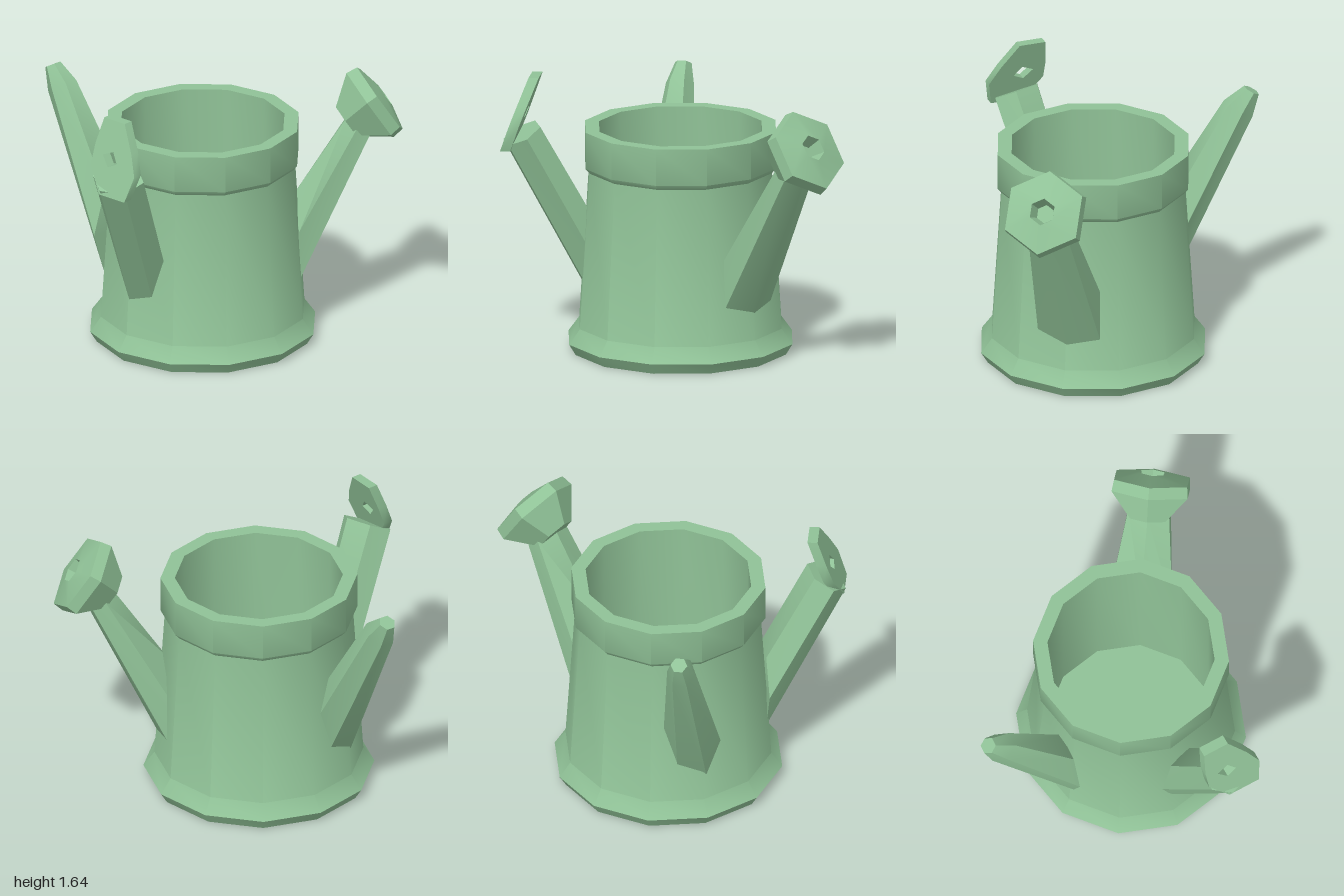
import * as THREE from 'three';
import { toCreasedNormals } from 'three/addons/utils/BufferGeometryUtils.js';

const CREASE = 0.7;

// Closed tube of six sides through rings { c: centre, w, h, upright }.
// An upright ring stands vertically, so it sits flush inside the pot wall.
function loft(rings, phase = 0, sides = 6) {
  const pos = [], index = [], up = new THREE.Vector3(0, 1, 0);
  const centres = rings.map((r) => new THREE.Vector3(...r.c));
  const axis = centres[centres.length - 1].clone().sub(centres[0]).normalize();
  const side = axis.clone().cross(up).normalize();
  const tilt = axis.clone().cross(side);
  rings.forEach((r, i) => {
    const down = r.upright ? up.clone().negate() : tilt;
    for (let k = 0; k < sides; k++) {
      const a = phase + (k / sides) * Math.PI * 2;
      const p = centres[i].clone()
        .addScaledVector(side, Math.cos(a) * r.w)
        .addScaledVector(down, Math.sin(a) * r.h);
      pos.push(p.x, p.y, p.z);
    }
  });
  const last = (rings.length - 1) * sides;
  const start = rings.length * sides;
  pos.push(...centres[0].toArray(), ...centres[centres.length - 1].toArray());
  for (let k = 0; k < sides; k++) {
    const n = (k + 1) % sides;
    for (let i = 0; i < last; i += sides) {
      index.push(i + k, i + n, i + sides + k, i + n, i + sides + n, i + sides + k);
    }
    index.push(start, n, k, start + 1, last + k, last + n);
  }
  const g = new THREE.BufferGeometry();
  g.setAttribute('position', new THREE.Float32BufferAttribute(pos, 3));
  g.setIndex(index);
  return toCreasedNormals(g, CREASE);
}

function lathe(points, sides, phase = 0) {
  const profile = points.map(([r, y]) => new THREE.Vector2(r, y));
  return toCreasedNormals(new THREE.LatheGeometry(profile, sides, phase), CREASE);
}

export function createModel() {
  const model = new THREE.Group();
  model.name = 'wateringCan';
  const green = new THREE.MeshStandardMaterial({ color: 0x90c297 });
  green.name = 'sage green';
  const add = (name, geometry) => {
    const mesh = new THREE.Mesh(geometry, green);
    mesh.name = name;
    model.add(mesh);
    return mesh;
  };

  // Hollow pot: flared foot, tapering wall, thick rim and deep inside
  const pot = add('pot', lathe([
    [0, 0.005], [0.64, 0.005], [0.68, 0.07], [0.615, 0.16], [0.555, 1.1], [0.58, 1.13],
    [0.58, 1.35], [0.495, 1.35], [0.495, 0.1], [0, 0.1],
  ], 12));
  pot.position.set(-0.205, 0, -0.015);

  // Spout with ridges along its top and bottom
  add('spout', loft([
    { c: [0.34, 0.51, -0.02], w: 0.22, h: 0.31, upright: true },
    { c: [0.74, 1.24, -0.01], w: 0.14, h: 0.09 },
  ], Math.PI / 2));

  // Sprinkler head: flared cup, domed face and a small pit
  const head = add('sprinklerHead', lathe([
    [0, -0.24], [0.12, -0.24], [0.26, -0.07], [0.25, 0], [0.08, 0.035], [0.055, -0.05], [0, -0.05],
  ], 6, Math.PI / 2));
  head.position.set(0.865, 1.395, -0.01);
  head.quaternion.setFromUnitVectors(
    new THREE.Vector3(0, 1, 0), new THREE.Vector3(0.83, 0.55, 0).normalize());

  // Front handle arm
  add('frontHandleArm', loft([
    { c: [-0.65, 0.6, 0.32], w: 0.15, h: 0.28, upright: true },
    { c: [-0.87, 1.31, 0.64], w: 0.16, h: 0.125 },
  ]));

  // Upright blade at the end of the front arm, leaning inward, with a small hole
  const outline = [[-0.1, 1.23], [0.1, 1.23], [0.17, 1.38], [0.14, 1.5],
    [0.08, 1.65], [-0.08, 1.65], [-0.14, 1.5], [-0.17, 1.38]];
  const toPoints = (list) => list.map(([u, y]) => new THREE.Vector2(u, y));
  const shape = new THREE.Shape(toPoints(outline));
  shape.holes.push(new THREE.Path(toPoints(
    [[-0.08, 1.45], [0, 1.48], [0.03, 1.42], [-0.04, 1.39]])));
  const blade = new THREE.ExtrudeGeometry(shape, { depth: 0.06, bevelEnabled: false });
  const p = blade.attributes.position;
  for (let i = 0; i < p.count; i++) {
    const u = p.getX(i), y = p.getY(i), w = p.getZ(i) - 0.03;
    const lean = (y - 1.3) / 0.35;
    p.setXYZ(i, -0.9 + 0.58 * u - 0.81 * w + 0.05 * lean, y,
      0.69 + 0.81 * u + 0.58 * w - 0.145 * lean);
  }
  blade.computeVertexNormals();
  add('frontHandleBlade', toCreasedNormals(blade, CREASE));

  // Back handle arm, tapering to a blunt tip
  add('backHandleArm', loft([
    { c: [-0.66, 0.58, -0.34], w: 0.17, h: 0.3, upright: true },
    { c: [-0.89, 1.36, -0.71], w: 0.085, h: 0.1 },
    { c: [-0.93, 1.47, -0.78], w: 0.05, h: 0.05 },
  ]));

  return model;
}
